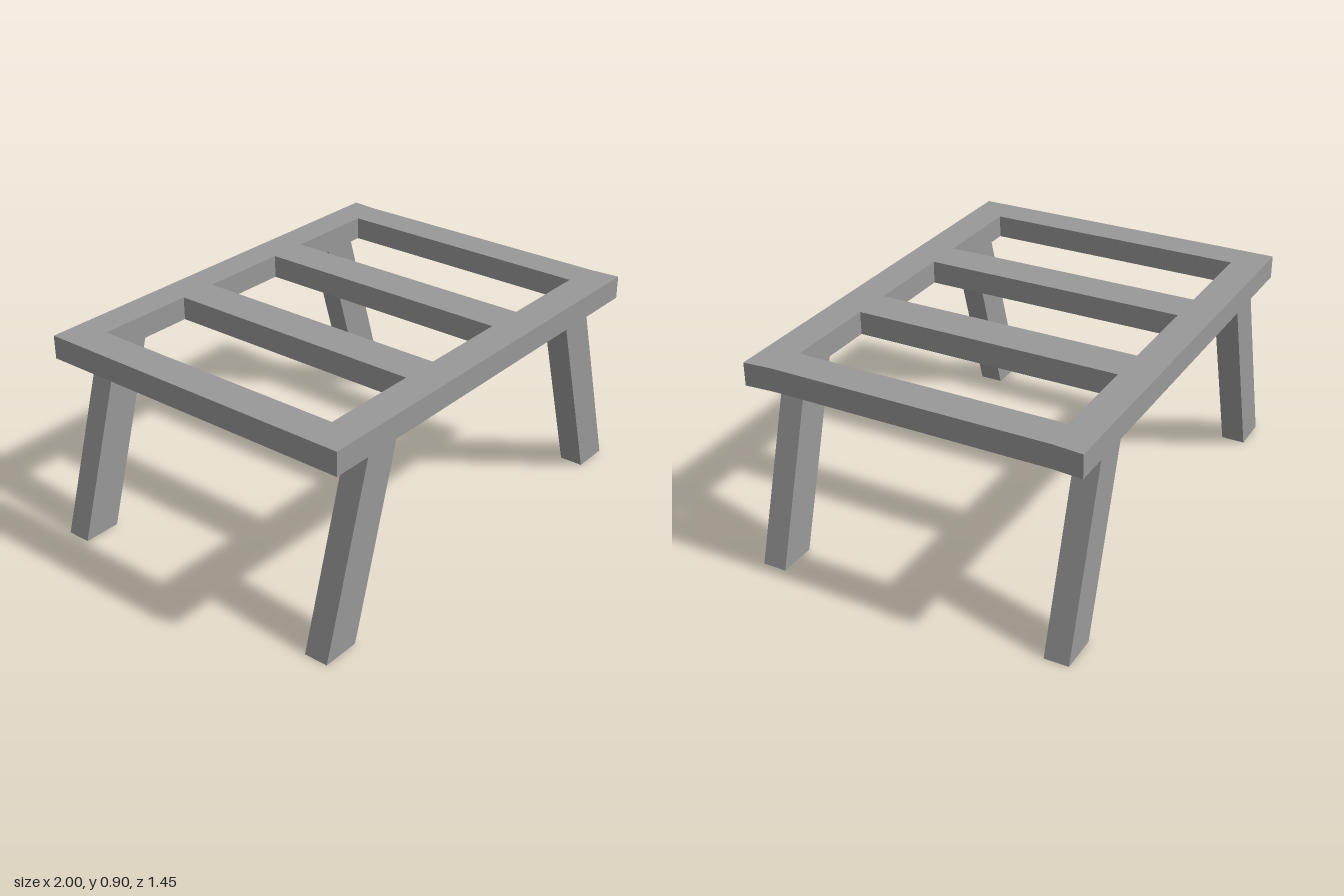
import * as THREE from 'three';

const toPoints = (pts) => pts.map(([x, y]) => new THREE.Vector2(x, y));

export function createModel() {
  const group = new THREE.Group();
  const grey = new THREE.MeshStandardMaterial({ color: 0x999999 });
  grey.name = 'grey';

  // Table frame: outline in x/z with three openings between the slats
  const outline = new THREE.Shape(toPoints([
    [-0.96, -0.725], [0.957, -0.725], [0.947, -0.6],
    [0.947, 0.6], [0.957, 0.72], [-0.96, 0.72],
  ]));
  for (const [x0, x1] of [[-0.81, -0.375], [-0.205, 0.2], [0.375, 0.795]]) {
    outline.holes.push(new THREE.Path(toPoints([
      [x0, -0.585], [x0, 0.575], [x1, 0.575], [x1, -0.585],
    ])));
  }
  const frameGeometry = new THREE.ExtrudeGeometry(outline, { depth: 0.1, bevelEnabled: false });
  frameGeometry.rotateX(Math.PI / 2).translate(0, 0.9, 0);
  const frame = new THREE.Mesh(frameGeometry, grey);
  frame.name = 'slattedFrame';
  group.add(frame);

  // Splayed legs: slanted profile in x/y, extruded along z
  const addLeg = (name, side, z) => {
    const profile = new THREE.Shape(toPoints([
      [side, 0], [side * 0.833, 0], [side * 0.59, 0.8], [side * 0.755, 0.8],
    ]));
    const geometry = new THREE.ExtrudeGeometry(profile, { depth: 0.105, bevelEnabled: false });
    const leg = new THREE.Mesh(geometry.translate(0, 0, z), grey);
    leg.name = name;
    group.add(leg);
  };
  addLeg('frontLeftLeg', 1, 0.583);
  addLeg('frontRightLeg', -1, 0.595);
  addLeg('backLeftLeg', 1, -0.704);
  addLeg('backRightLeg', -1, -0.704);

  return group;
}
